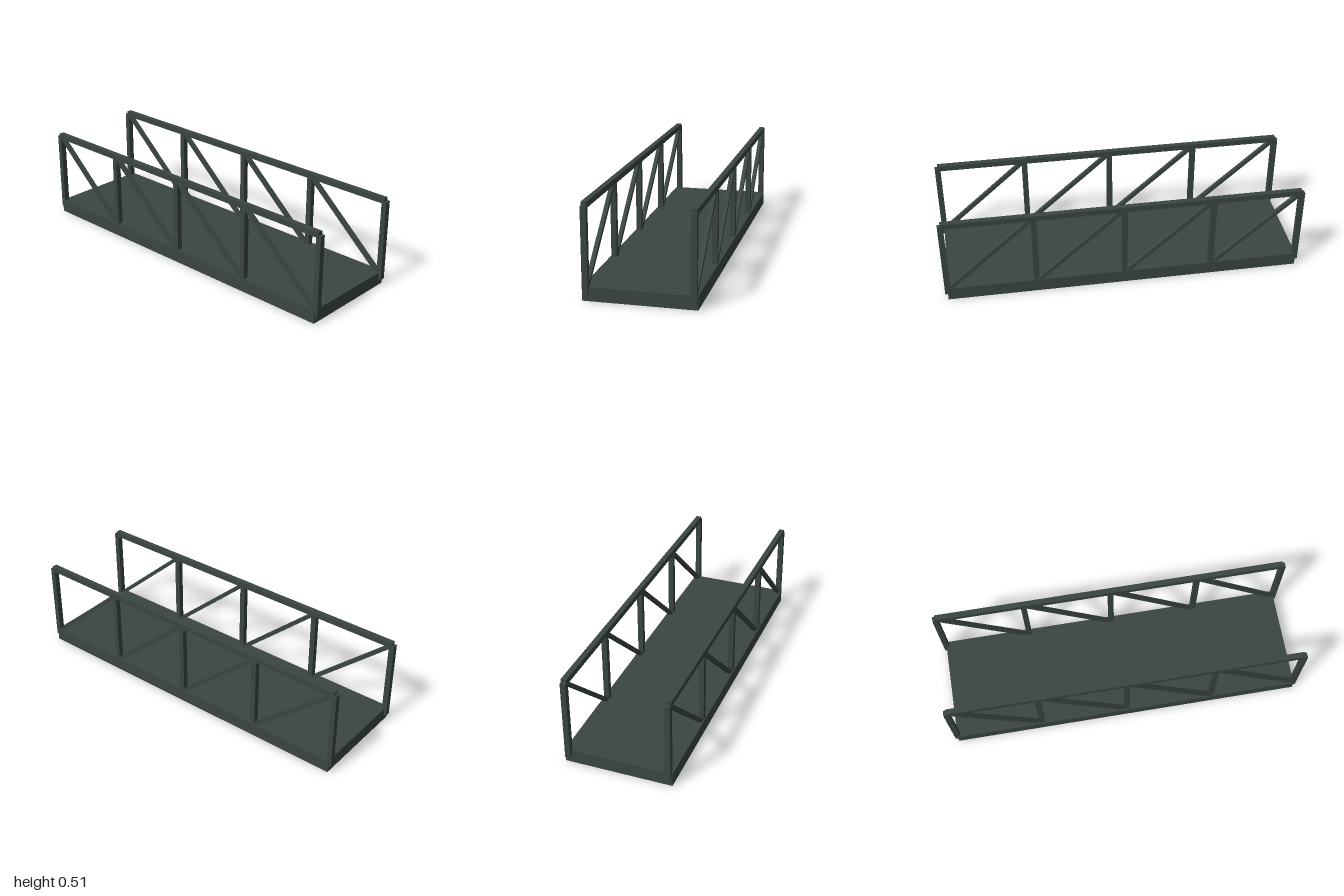
import * as THREE from 'three';

const material = new THREE.MeshStandardMaterial({ color: 0x3a4542 });

function box(name, w, h, d, x, y, z) {
  const mesh = new THREE.Mesh(new THREE.BoxGeometry(w, h, d), material);
  mesh.name = name;
  mesh.position.set(x, y, z);
  return mesh;
}

// One side truss: top rail, posts and a diagonal in each bay
function truss(name, x) {
  const group = new THREE.Group();
  group.name = name;
  const bays = 4, end = 0.985, bay = (2 * end) / bays;
  const low = 0.054, high = 0.493;

  group.add(box('topRail', 0.03, 0.031, 2 * end, x, 0.4935, 0));
  for (let i = 0; i <= bays; i++) {
    group.add(box('post', 0.03, 0.457, 0.03, x, 0.2625, end - i * bay));
  }

  // Diagonals rise from front to back
  const rise = high - low;
  for (let i = 0; i < bays; i++) {
    const brace = box('diagonal', 0.022, 0.022, Math.hypot(rise, bay),
      x, (low + high) / 2, end - (i + 0.5) * bay);
    brace.rotation.x = Math.atan2(rise, bay);
    group.add(brace);
  }
  return group;
}

export function createModel() {
  const model = new THREE.Group();
  model.name = 'trussBridge';
  model.add(box('deck', 0.59, 0.074, 1.97, 0, 0.037, 0));
  model.add(truss('leftTruss', 0.275), truss('rightTruss', -0.275));
  return model;
}
